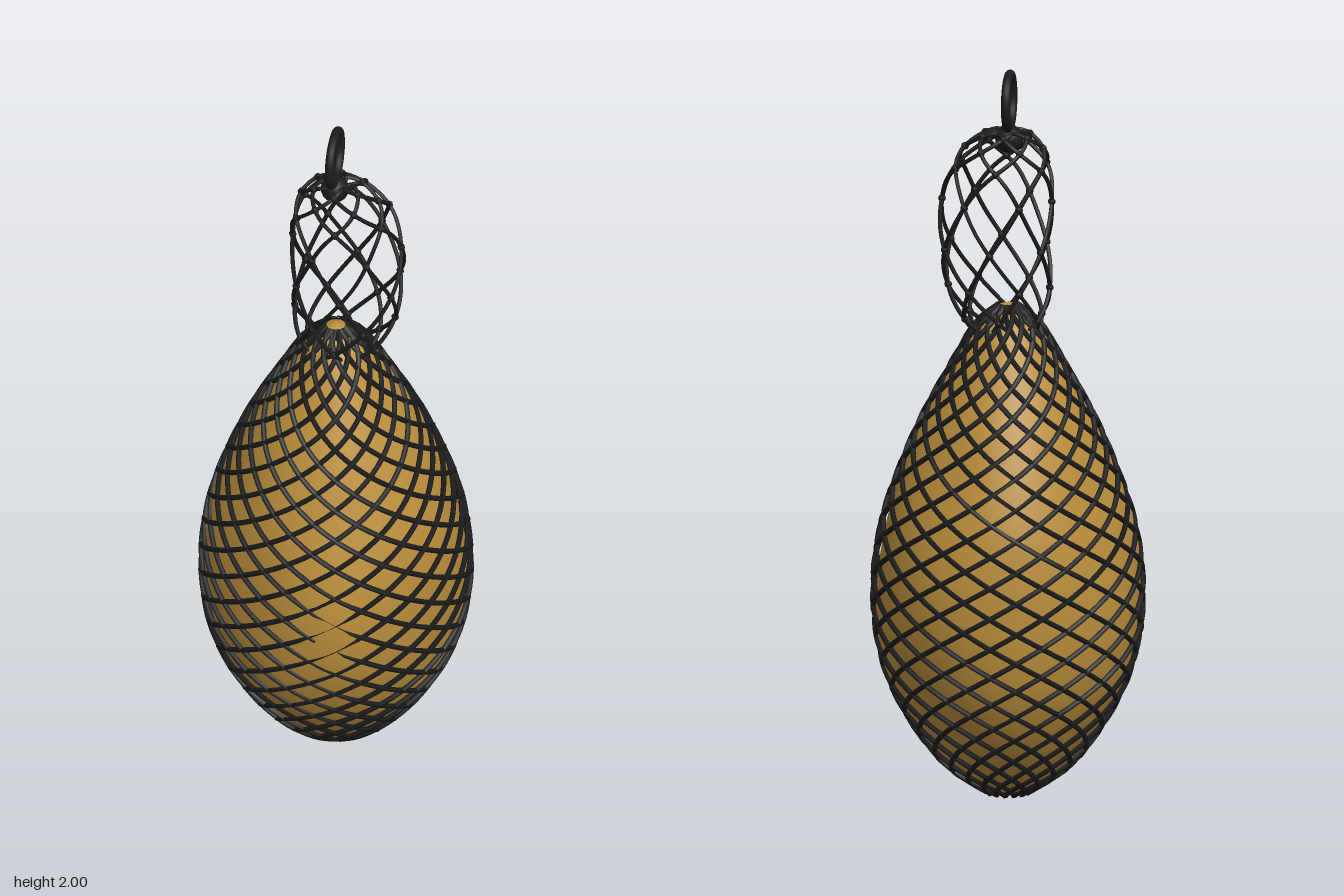
import * as THREE from 'three';
import { mergeGeometries, mergeVertices } from 'three/addons/utils/BufferGeometryUtils.js';

const gold = new THREE.MeshStandardMaterial({ name: 'gold', color: 0xb98d3b });
const black = new THREE.MeshStandardMaterial({ name: 'black cord', color: 0x1b1b1b });

// Half outline of the bag, [radius, height] from bottom to tip
const outline = new THREE.SplineCurve([
  [0.055, 0.012], [0.16, 0.085], [0.245, 0.19], [0.315, 0.32], [0.35, 0.45], [0.358, 0.58],
  [0.347, 0.7], [0.315, 0.83], [0.24, 1.02], [0.15, 1.19], [0.085, 1.3], [0.022, 1.355],
].map(([r, y]) => new THREE.Vector2(r, y)));

function mesh(name, geometry, material, parent) {
  const m = new THREE.Mesh(geometry, material);
  m.name = name;
  parent.add(m);
  return m;
}

// One cord following a path function f(t), t from 0 to 1
function cord(f, steps, radius, sides) {
  const points = [];
  for (let i = 0; i <= steps; i++) points.push(f(i / steps));
  return new THREE.TubeGeometry(new THREE.CatmullRomCurve3(points), steps * 2, radius, sides);
}

// Cords wound both ways round a surface given by at(t, angle)
function net(at, count, turn, start, steps, radius, sides) {
  const cords = [];
  for (const dir of [-1, 1]) {
    for (let i = 0; i < count; i++) {
      const a = start + (i / count) * Math.PI * 2;
      cords.push(cord((t) => at(t, a + dir * turn * t), steps, radius, sides));
    }
  }
  return mergeGeometries(cords);
}

// Gold filling: lathed, then bulged unevenly so the net sinks in and lifts off
function makeBody() {
  const profile = [new THREE.Vector2(0, 0.003), ...outline.getSpacedPoints(70), new THREE.Vector2(0, 1.362)];
  let g = new THREE.LatheGeometry(profile, 96);
  const p = g.attributes.position;
  for (let i = 0; i < p.count; i++) {
    const x = p.getX(i), y = p.getY(i), z = p.getZ(i), a = Math.atan2(z, x);
    const bulge = -0.016 - 0.014 * Math.cos(2 * a) + 0.016 * Math.cos(4 * a + 0.3)
      + 0.014 * Math.sin(3 * a + 7 * y) + 0.008 * Math.sin(5 * a - 9 * y);
    const k = 1 + bulge * Math.sin(Math.PI * Math.min(1, Math.max(0, y / 1.36)));
    p.setX(i, x * k);
    p.setZ(i, z * k);
  }
  g.deleteAttribute('normal');
  g.deleteAttribute('uv');
  g = mergeVertices(g, 1e-5);
  g.computeVertexNormals();
  return g;
}

function bagPoint(t, a) {
  const q = outline.getPointAt(t);
  const r = q.x + 0.004;
  return new THREE.Vector3(r * Math.cos(a), q.y, r * Math.sin(a));
}

// Upper net: oval sleeve leaning slightly to +x, drawn together under the ring
const sleeve = new THREE.SplineCurve([
  [0.075, 1.275], [0.112, 1.33], [0.136, 1.43], [0.145, 1.56], [0.137, 1.7],
  [0.113, 1.77], [0.075, 1.815], [0.04, 1.832], [0.01, 1.812],
].map(([r, y]) => new THREE.Vector2(r, y)));

function sleevePoint(t, a) {
  const q = sleeve.getPoint(t);
  const lean = 0.034 * Math.sin(Math.PI * THREE.MathUtils.clamp((q.y - 1.25) / 0.6, 0, 1));
  return new THREE.Vector3(lean + q.x * 1.04 * Math.cos(a), q.y, q.x * 0.86 * Math.sin(a));
}

export function createModel() {
  const model = new THREE.Group();
  model.name = 'nettedBag';

  mesh('filling', makeBody(), gold, model);
  mesh('bagNet', net(bagPoint, 16, Math.PI * 2.3, 0, 60, 0.0075, 5), black, model);

  // Upper net, with a knot at every crossing
  const columns = 6, rows = 9;
  const halfStep = Math.PI / columns;
  mesh('upperNet', net(sleevePoint, columns, halfStep * rows, 0, 36, 0.0058, 6), black, model);
  const knots = [];
  for (let row = 0; row < rows - 1; row++) {
    for (let i = 0; i < columns; i++) {
      const c = sleevePoint(row / rows, (i * 2 + (row % 2)) * halfStep);
      knots.push(new THREE.SphereGeometry(0.0105, 8, 6).translate(c.x, c.y, c.z));
    }
  }
  mesh('netKnots', mergeGeometries(knots), black, model);

  // Gathering knot and hanging ring
  const knot = mesh('gatheringKnot', new THREE.SphereGeometry(0.038, 20, 14), black, model);
  knot.position.set(-0.003, 1.812, 0);
  const ring = mesh('hangingRing', new THREE.TorusGeometry(0.073, 0.0125, 12, 48), black, model);
  ring.rotation.y = Math.PI / 2;
  ring.position.set(-0.003, 1.9145, 0);

  return model;
}
